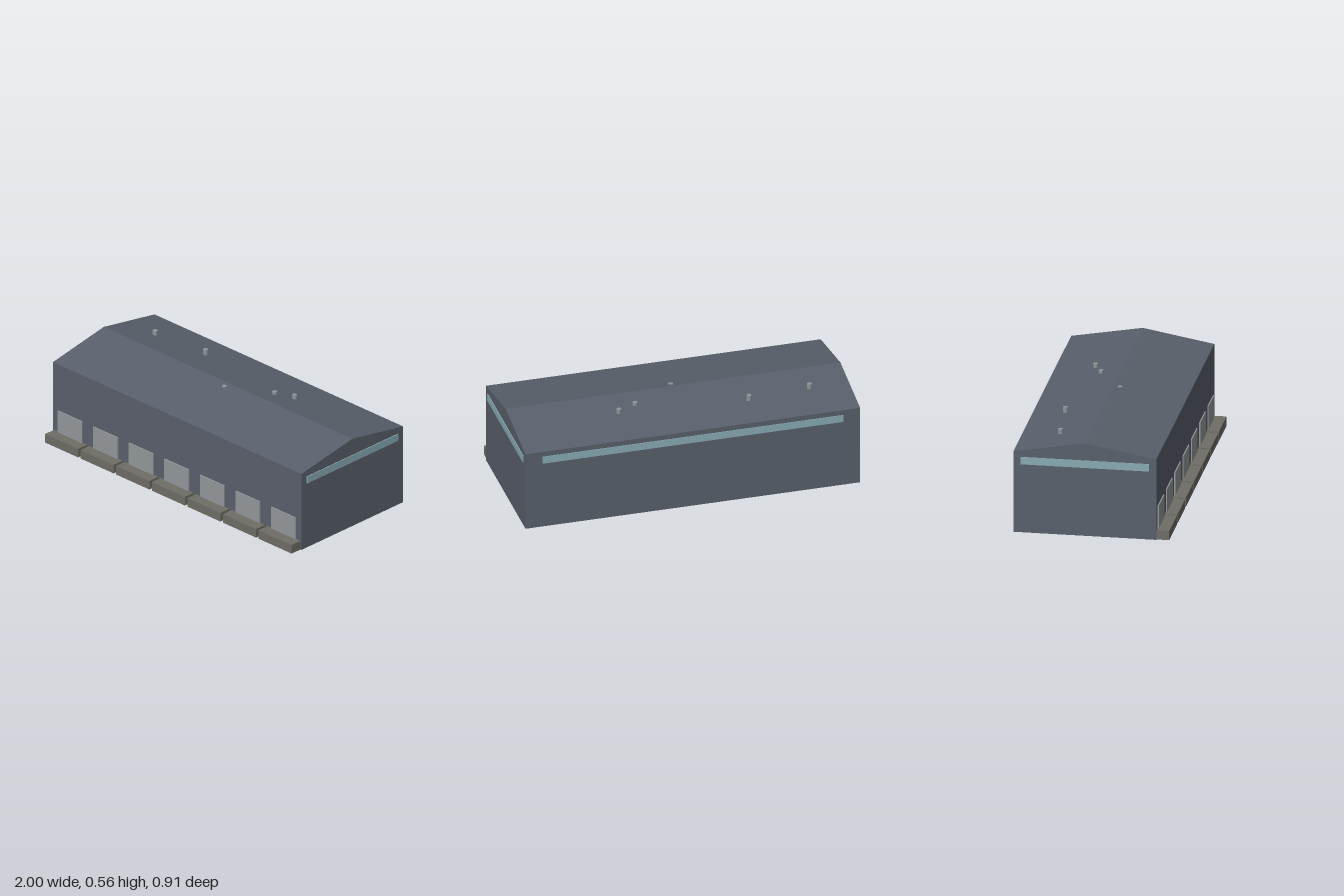
import * as THREE from 'three';

const HALF = 0.995;                 // half length of the hall
const FRONT = 0.38, BACK = -0.45;   // long walls
const MID = (FRONT + BACK) / 2, HALF_W = (FRONT - BACK) / 2;
const EAVES = 0.489, RIDGE = 0.562;

const mat = (color, side = THREE.FrontSide) =>
  new THREE.MeshStandardMaterial({ color, side, flatShading: true });

export function createModel() {
  const model = new THREE.Group();
  const cladding = mat(0x59606b, THREE.DoubleSide);
  const glass = mat(0x88aab5);
  const doorMat = mat(0x94989a);
  const concrete = mat(0x6e6d66);
  const metal = mat(0x909498);

  const add = (name, geometry, material, x, y, z) => {
    const mesh = new THREE.Mesh(geometry, material);
    mesh.name = name;
    mesh.position.set(x, y, z);
    model.add(mesh);
    return mesh;
  };
  const box = (name, material, w, h, d, x, y, z) =>
    add(name, new THREE.BoxGeometry(w, h, d), material, x, y, z);

  // Gable outline, used for both end walls
  const gable = new THREE.Shape([
    [-HALF_W, 0], [HALF_W, 0], [HALF_W, EAVES], [0, RIDGE], [-HALF_W, EAVES],
  ].map(([x, y]) => new THREE.Vector2(x, y)));

  // Shell, open underneath: end walls with window bands
  for (const [side, s] of [['left', 1], ['right', -1]]) {
    add(side + 'EndWall', new THREE.ShapeGeometry(gable), cladding, s * HALF, 0, MID)
      .rotation.y = s * Math.PI / 2;
    box(side + 'WindowBand', glass, 0.01, 0.044, 0.745, s * 0.995, 0.436, MID);
  }

  // Long walls and roof slopes
  const slope = Math.atan2(RIDGE - EAVES, HALF_W);
  const slopeLength = Math.hypot(RIDGE - EAVES, HALF_W);
  for (const [side, s] of [['front', 1], ['back', -1]]) {
    add(side + 'Wall', new THREE.PlaneGeometry(2 * HALF, EAVES), cladding,
      0, EAVES / 2, MID + s * HALF_W).rotation.y = s > 0 ? 0 : Math.PI;
    add(side + 'RoofSlope', new THREE.PlaneGeometry(2 * HALF, slopeLength), cladding,
      0, (EAVES + RIDGE) / 2, MID + s * HALF_W / 2).rotation.x = -Math.PI / 2 + s * slope;
  }
  box('backWindowBand', glass, 1.79, 0.044, 0.008, 0, 0.436, BACK);

  // Loading bays: shutter door and dock platform
  for (let i = 0; i < 7; i++) {
    const x = (i - 3) * 0.285;
    box('loadingDoor', doorMat, 0.195, 0.14, 0.014, x, 0.123, FRONT);
    box('loadingDock', concrete, 0.265, 0.055, 0.073, x, 0.0275, FRONT + 0.0365);
  }

  // Roof vents
  for (const [x, z] of [[-0.76, -0.216], [-0.39, -0.25], [0.005, -0.001], [0.26, -0.152], [0.37, -0.202]]) {
    add('roofVent', new THREE.CylinderGeometry(0.015, 0.015, 0.032, 12), metal, x, 0.542, z);
  }
  return model;
}
